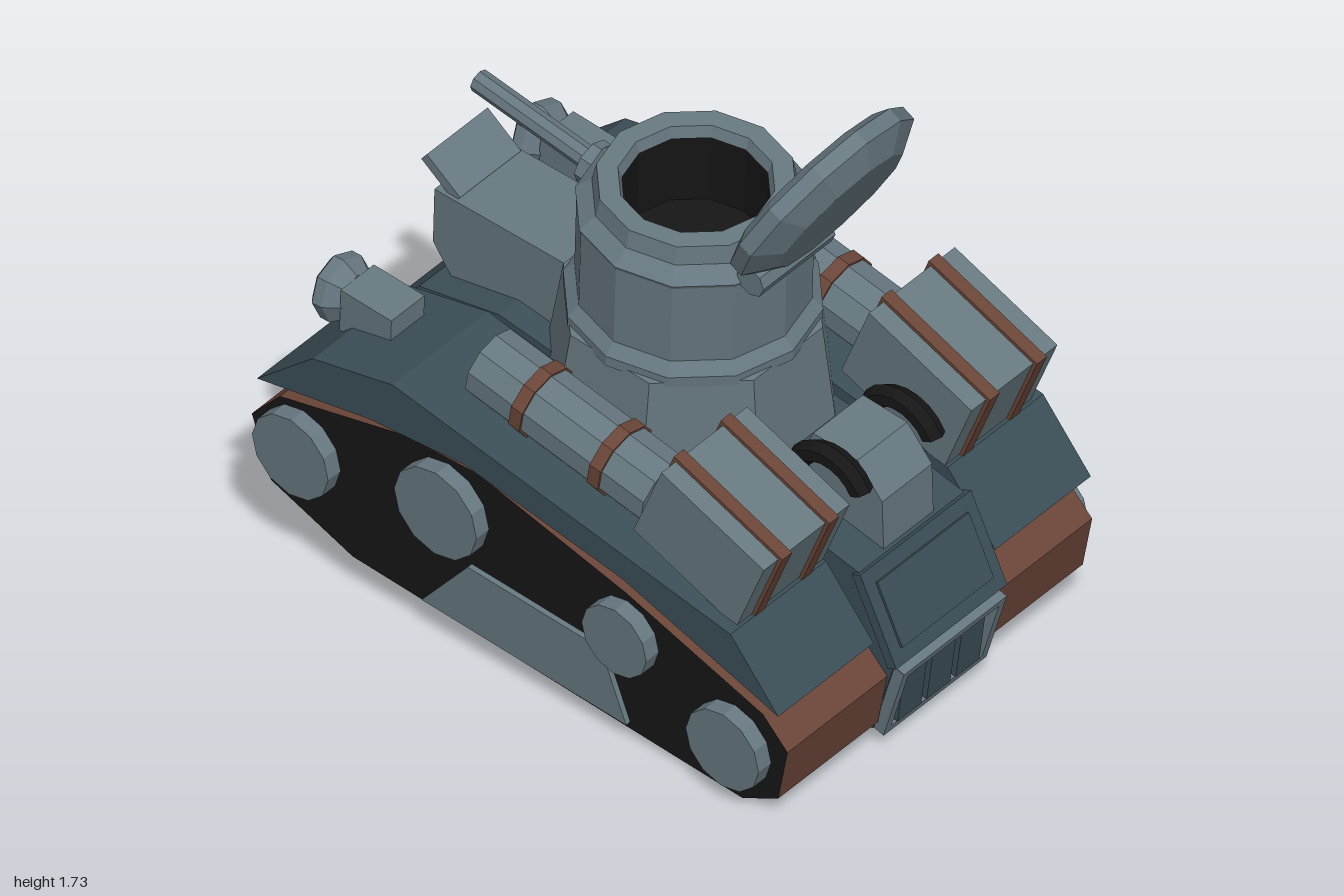
import * as THREE from 'three';

const paint = (color) => new THREE.MeshStandardMaterial({ color, flatShading: true, side: THREE.DoubleSide });
const grey = paint(0x66777f), teal = paint(0x3b4e56), brown = paint(0x6a4538);
const black = paint(0x161616), lens = paint(0xe898e0);

// Local frame of the tank: x sideways, y up, z forward
export function createModel() {
  const model = new THREE.Group();
  const tank = new THREE.Group();
  tank.name = 'tank';
  model.add(tank);

  const add = (name, geo, mat, x = 0, y = 0, z = 0, rx = 0, parent = tank) => {
    const m = new THREE.Mesh(geo, mat);
    m.name = name;
    m.position.set(x, y, z);
    m.rotation.x = rx;
    parent.add(m);
    return m;
  };
  const subgroup = (name, x, y, z, rx, parent = tank) => {
    const g = new THREE.Group();
    g.name = name;
    g.position.set(x, y, z);
    g.rotation.x = rx;
    parent.add(g);
    return g;
  };
  const box = (w, h, d) => new THREE.BoxGeometry(w, h, d);
  const cylX = (r, l, n = 12) => new THREE.CylinderGeometry(r, r, l, n).rotateZ(Math.PI / 2);
  const cylZ = (r, l, n = 10) => new THREE.CylinderGeometry(r, r, l, n).rotateX(Math.PI / 2);
  const lathe = (pts, n = 12) => new THREE.LatheGeometry(pts.map(([r, y]) => new THREE.Vector2(r, y)), n);
  // Side profile of [z, y] points swept across a width
  const sweep = (pts, width) =>
    new THREE.ExtrudeGeometry(new THREE.Shape(pts.map(([z, y]) => new THREE.Vector2(z, y))),
      { depth: width, bevelEnabled: false }).translate(0, 0, -width / 2).rotateY(-Math.PI / 2);

  // Hull
  add('hull', sweep([[-0.775, 0.03], [-0.835, 0.27], [-0.72, 0.5], [-0.4, 0.55], [0.42, 0.62],
    [0.67, 0.555], [0.82, 0.36], [0.8, 0.15], [0.66, 0.02]], 0.38), teal);
  add('superstructure', new THREE.CylinderGeometry(0.325, 0.37, 0.33, 8).rotateY(Math.PI / 8), grey, 0, 0.665, -0.02);

  // Driver's box with open visor
  add('driverBox', sweep([[0.2, 0.55], [0.62, 0.55], [0.69, 0.64], [0.69, 0.81], [0.2, 0.83]], 0.24), grey);
  add('visorSlot', box(0.17, 0.09, 0.02), black, 0, 0.755, 0.685);
  add('visorFlap', box(0.22, 0.03, 0.13), grey, 0, 0.845, 0.68, -0.6);

  // Running gear and stowage, mirrored
  const trackProfile = [[-0.68, -0.008], [-0.79, 0.06], [-0.815, 0.225], [-0.735, 0.3], [-0.3, 0.42],
    [0.17, 0.51], [0.4, 0.49], [0.79, 0.37], [0.875, 0.26], [0.81, 0.085], [0.55, 0]];
  const fenderProfile = [[-0.795, 0.34], [-0.64, 0.51], [0.43, 0.645], [0.68, 0.572], [0.85, 0.4],
    [0.5, 0.49], [0.2, 0.53], [-0.3, 0.475]];
  const wheels = [[0.715, 0.25, 0.12], [0.26, 0.355, 0.13], [-0.305, 0.295, 0.102], [-0.65, 0.16, 0.115]];
  for (const s of [1, -1]) {
    add('track', sweep(trackProfile, 0.36), [black, brown], s * 0.37);
    add('fender', sweep(fenderProfile, 0.345), teal, s * 0.392);
    for (const [z, y, r] of wheels) add('wheel', cylX(r, 0.07), grey, s * 0.56, y, z);
    add('sidePlate', sweep([[-0.325, 0.015], [0.32, 0.015], [0.18, 0.21], [-0.24, 0.21]], 0.03), grey, s * 0.55);

    // Rear stowage box with two straps
    const stowage = subgroup('stowageBox', s * 0.375, 0.675, -0.505, -0.33);
    add('boxBody', box(0.31, 0.25, 0.345), grey, 0, 0, 0, 0, stowage);
    for (const x of [-0.085, 0.085]) add('boxStrap', box(0.035, 0.27, 0.365), brown, x, 0, 0, 0, stowage);

    // Bedroll with two straps
    const roll = subgroup('bedroll', s * 0.395, 0.67, -0.01, -0.13);
    add('rollBody', cylZ(0.094, 0.56), grey, 0, 0, 0, 0, roll);
    for (const z of [0.12, -0.13]) add('rollStrap', cylZ(0.1, 0.035), brown, 0, 0, z, 0, roll);

    // Headlight with a dished rim
    add('headlightMount', box(0.12, 0.13, 0.16), grey, s * 0.36, 0.605, 0.64);
    const lamp = subgroup('headlight', s * 0.36, 0.61, 0.755, 0.1);
    add('lampShell', lathe([[0, -0.05], [0.06, -0.04], [0.088, 0], [0.088, 0.03], [0.068, 0.045], [0.06, 0.025]], 8)
      .rotateX(Math.PI / 2), grey, 0, 0, 0, 0, lamp);
    add('lampLens', cylZ(0.064, 0.01, 8), lens, 0, 0, 0.025, 0, lamp);

    // Engine hose
    add('hose', new THREE.TorusGeometry(0.108, 0.03, 6, 14, Math.PI * 1.35).rotateY(Math.PI / 2),
      black, s * 0.13, 0.64, -0.575, 0.5);
  }

  // Engine housing
  add('engineHousing', sweep([[-0.71, 0.48], [-0.7, 0.65], [-0.62, 0.735], [-0.48, 0.735], [-0.38, 0.5]], 0.18), grey);

  // Rear panel
  const panel = subgroup('rearPanel', 0, 0.385, -0.778, 0.48);
  add('panelPlate', box(0.4, 0.26, 0.03), teal, 0, 0, 0, 0, panel);
  add('panelInset', box(0.33, 0.18, 0.02), teal, 0, 0, -0.012, 0, panel);

  // Rear grille
  const grille = subgroup('rearGrille', 0, 0.145, -0.81, -0.245);
  for (const k of [-1, 1]) {
    add('grilleFrame', box(0.37, 0.022, 0.05), grey, 0, k * 0.11, 0, 0, grille);
    add('grilleFrame', box(0.022, 0.24, 0.05), grey, k * 0.175, 0, 0, 0, grille);
  }
  for (let i = -1; i <= 1; i++) add('grilleSlat', box(0.085, 0.19, 0.02), teal, i * 0.105, 0, -0.005, 0.15, grille);

  // Turret with raised collar
  const turret = subgroup('turret', 0, 0, -0.02, 0);
  add('turretBody', lathe([[0.315, 0.82], [0.315, 0.85], [0.288, 0.88], [0.288, 1.115], [0.292, 1.125],
    [0.252, 1.16], [0.242, 1.21], [0.19, 1.21], [0.18, 1.18]]), grey, 0, 0, 0, 0, turret);
  add('turretInterior', lathe([[0.18, 1.18], [0.18, 0.98], [0, 0.98]]), black, 0, 0, 0, 0, turret);

  // Gun
  add('gunMount', cylZ(0.06, 0.1, 8), grey, 0, 1.055, 0.28, -0.1, turret);
  add('gunBarrel', cylZ(0.03, 0.41, 8), grey, 0, 1.078, 0.48, -0.1, turret);
  add('gunMuzzle', cylZ(0.018, 0.01, 8), black, 0, 1.099, 0.683, -0.1, turret);

  // Open hatch
  add('hatchHinge', cylX(0.042, 0.26, 8), grey, 0, 1.145, -0.285, 0, turret);
  const hatch = subgroup('hatch', 0, 1.415, -0.395, 1.13, turret);
  add('hatchShell', lathe([[0, -0.06], [0.2, -0.06], [0.278, -0.015], [0.278, 0.025], [0.235, 0.045], [0.225, 0.015]]),
    grey, 0, 0, 0, 0, hatch);
  add('hatchLining', new THREE.CylinderGeometry(0.23, 0.23, 0.01, 12), teal, 0, 0.01, 0, 0, hatch);
  add('hatchHandle', box(0.025, 0.03, 0.08), black, 0, 0.03, -0.02, 0, hatch);
  add('hatchHandle', box(0.025, 0.03, 0.07), black, -0.02, 0.03, 0.04, 0, hatch).rotation.y = -0.7;

  // Parked at an angle on uneven ground
  tank.rotation.set(-0.085, -2.142, -0.066, 'YXZ');
  tank.position.set(0.017, 0.1, -0.011);
  return model;
}
